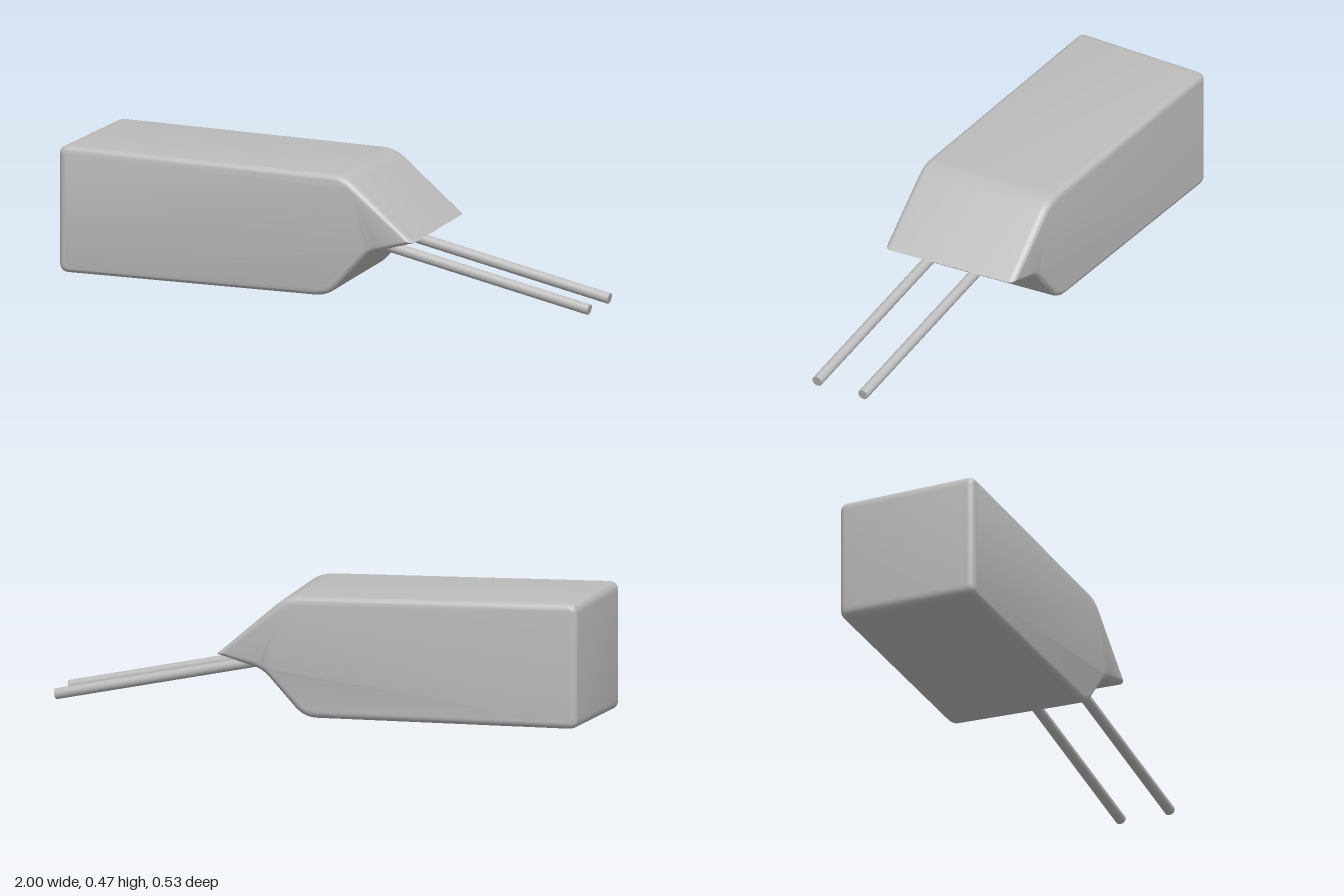
import * as THREE from 'three';
import { toCreasedNormals } from 'three/addons/utils/BufferGeometryUtils.js';

// Closed outline whose corners [x, y, d] are rounded, starting d away from each corner
function roundedShape(corners) {
  const shape = new THREE.Shape();
  const n = corners.length;
  corners.forEach(([x, y, d], i) => {
    const p = new THREE.Vector2(x, y);
    const toward = ([qx, qy]) => new THREE.Vector2(qx, qy).sub(p).setLength(d).add(p);
    const a = d ? toward(corners[(i + n - 1) % n]) : p;
    if (i === 0) shape.moveTo(a.x, a.y);
    else shape.lineTo(a.x, a.y);
    if (d) {
      const b = toward(corners[(i + 1) % n]);
      shape.quadraticCurveTo(x, y, b.x, b.y);
    }
  });
  shape.closePath();
  return shape;
}

export function createModel() {
  const group = new THREE.Group();
  group.name = 'sensorHousing';
  const grey = new THREE.MeshStandardMaterial({ color: 0xbcbcbc });
  grey.name = 'plain grey';

  // Wedge-nosed housing: side profile extruded across z with rounded edges
  const halfDepth = 0.264, bevel = 0.025;
  const profile = roundedShape([
    [-1, 0.005, 0.036], [0.03, 0.005, 0.05], [0.185, 0.175, 0.035],
    [0.358, 0.226, 0], [0.095, 0.45, 0.05], [-1, 0.467, 0.036],
  ]);
  const body = new THREE.ExtrudeGeometry(profile, {
    depth: 2 * (halfDepth - bevel), curveSegments: 6,
    bevelThickness: bevel, bevelSize: bevel, bevelOffset: -bevel, bevelSegments: 5,
  });
  body.translate(0, 0, bevel - halfDepth);

  // Slight moulding draft: the profile shrinks toward the back
  const pos = body.attributes.position;
  for (let i = 0; i < pos.count; i++) {
    const s = 1 - 0.025 * (halfDepth - pos.getZ(i)) / (2 * halfDepth);
    pos.setX(i, -0.25 + (pos.getX(i) + 0.25) * s);
    pos.setY(i, 0.23 + (pos.getY(i) - 0.23) * s);
  }
  const housing = new THREE.Mesh(toCreasedNormals(body, 0.6), grey);
  housing.name = 'housing';
  group.add(housing);

  // Two parallel rods sloping down from under the nose
  const start = new THREE.Vector3(0.16, 0.191, 0.133);
  const end = new THREE.Vector3(0.993, 0.02, 0.158);
  const axis = end.clone().sub(start);
  for (const [name, dz] of [['frontRod', 0], ['backRod', -0.19]]) {
    const rod = new THREE.Mesh(new THREE.CylinderGeometry(0.0195, 0.0195, axis.length(), 24), grey);
    rod.name = name;
    rod.position.copy(start).add(end).multiplyScalar(0.5);
    rod.position.z += dz;
    rod.quaternion.setFromUnitVectors(new THREE.Vector3(0, 1, 0), axis.clone().normalize());
    group.add(rod);
  }
  return group;
}
